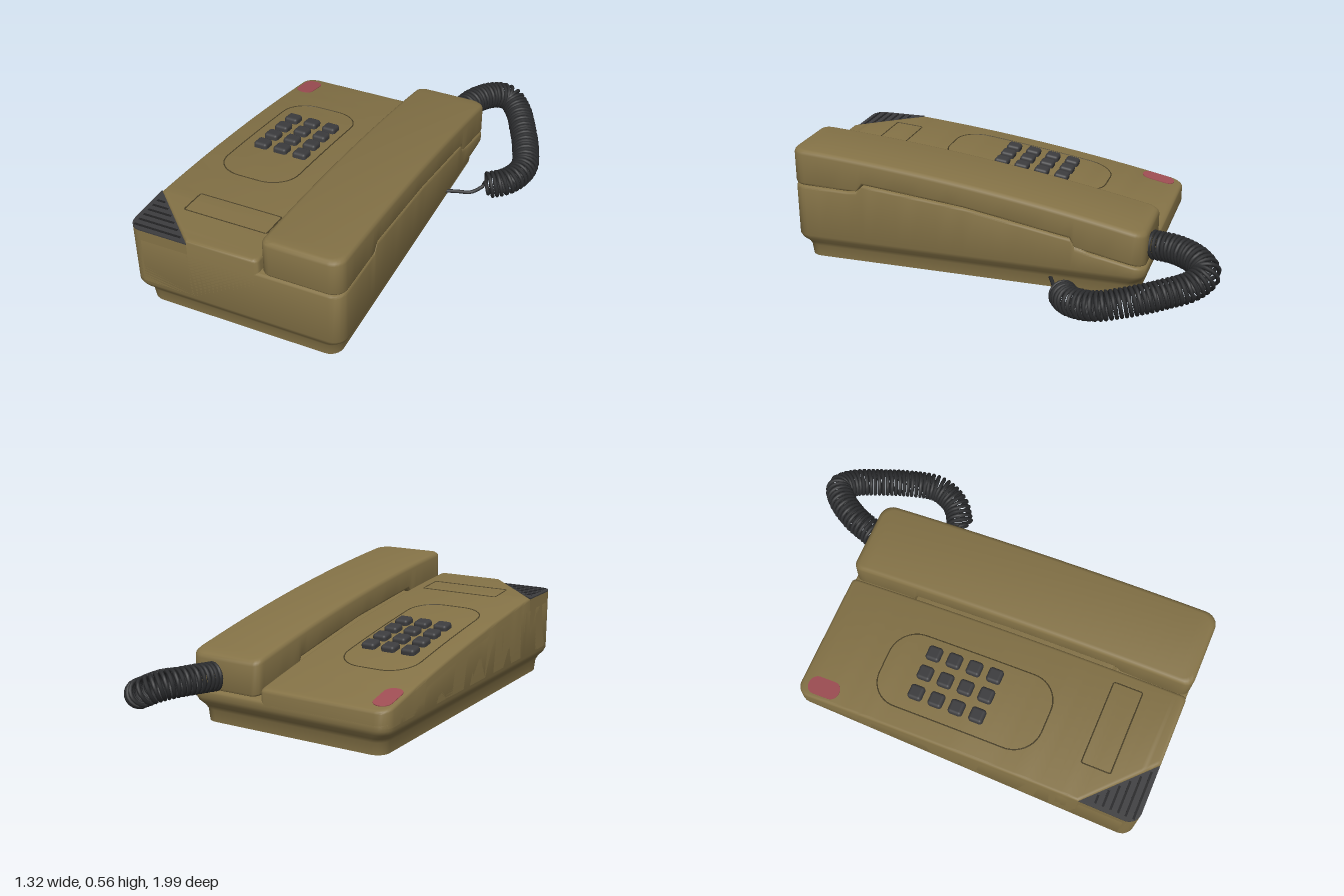
import * as THREE from 'three';
import { toCreasedNormals } from 'three/addons/utils/BufferGeometryUtils.js';
import { RoundedBoxGeometry } from 'three/addons/geometries/RoundedBoxGeometry.js';

const mat = (name, color) => new THREE.MeshStandardMaterial({ name, color });

// Height of the handset's curved top, the deck beside it, and the stepped seam below the handset
const handsetTop = (z) => { const t = (1 - z) / 1.66; return 0.563 - 0.1 * t - 0.128 * t * t; };
const deckTop = (z) => handsetTop(z) - 0.112;
const deckSlope = (z) => (deckTop(z + 0.01) - deckTop(z - 0.01)) / 0.02;
const SEAM = [[-0.66, 0.175], [-0.345, 0.238], [-0.325, 0.282], [0.17, 0.368], [0.655, 0.42], [0.685, 0.38], [1, 0.388]];
function seam(z) {
  for (let i = 1; i < SEAM.length; i++) {
    const [za, ya] = SEAM[i - 1], [zb, yb] = SEAM[i];
    if (z <= zb) return ya + (yb - ya) * (z - za) / (zb - za);
  }
  return SEAM[SEAM.length - 1][1];
}

// Corner of the deck that is cut away for the grille
const CUT_Z = 0.73;
const cutX = (z) => -0.665 + (z - CUT_Z) * 1.06;

// Stack of rounded outlines; each level is [inset, height(x, z)]
function loft({ x0, x1, z0, z1, rl, rr, cut }, levels) {
  const set = [CUT_Z, ...SEAM.map((s) => s[0])], r = Math.max(rl, rr);
  for (let i = 0; i <= 6; i++) {
    const d = r * (1 - Math.cos(i * Math.PI / 12));
    set.push(z0 + d, z1 - d);
  }
  for (let i = 1; i < 24; i++) set.push(z0 + r + (z1 - z0 - 2 * r) * i / 24);
  const zs = set.filter((z) => z >= z0 && z <= z1).sort((a, b) => a - b).filter((z, i, a) => !i || z - a[i - 1] > 0.0005);
  const n = zs.length, m = 2 * n, zc = (z0 + z1) / 2, hz = (z1 - z0) / 2;
  const corner = (z, rad) => {
    const d = Math.min(rad, Math.max(0, rad - (z1 - z), rad - (z - z0)));
    return rad - Math.sqrt(rad * rad - d * d);
  };
  const pos = [], idx = [];
  for (const [inset, height] of levels) {
    const left = [], right = [];
    for (const z of zs) {
      const zz = zc + (z - zc) * (hz - inset) / hz;
      let xl = x0 + inset + corner(z, rl);
      if (cut) xl = Math.max(xl, cutX(z) + inset);
      left.push([xl, zz]);
      right.unshift([x1 - inset - corner(z, rr), zz]);
    }
    for (const [x, z] of [...left, ...right]) pos.push(x, height(x, z), z);
  }
  for (let k = 0; k < levels.length - 1; k++) {
    for (let i = 0; i < m; i++) {
      const a = k * m + i, b = k * m + (i + 1) % m;
      idx.push(a, b, b + m, a, b + m, a + m);
    }
  }
  const top = (levels.length - 1) * m;
  for (let i = 0; i < n - 1; i++) {
    const l = i, l2 = i + 1, q = m - 1 - i, q2 = m - 2 - i;
    idx.push(top + l, top + l2, top + q2, top + l, top + q2, top + q);
    idx.push(l, q2, l2, l, q, q2);
  }
  const g = new THREE.BufferGeometry();
  g.setAttribute('position', new THREE.Float32BufferAttribute(pos, 3));
  g.setIndex(idx);
  return toCreasedNormals(g, 0.7);
}

// Rounded edge at the top (dir 1) or bottom (dir -1) of a loft
function bevel(r, height, dir) {
  const out = [0, 1, 2, 3].map((i) => {
    const a = i * Math.PI / 6;
    return [r * (1 - Math.cos(a)), (x, z) => height(x, z) - dir * r * (1 - Math.sin(a))];
  });
  return dir > 0 ? out : out.reverse();
}

// Rounded rectangle in plan; the shape's y is -z
function roundRect(x0, x1, z0, z1, r) {
  const s = new THREE.Shape();
  s.absarc(x1 - r, -z1 + r, r, -Math.PI / 2, 0);
  s.absarc(x1 - r, -z0 - r, r, 0, Math.PI / 2);
  s.absarc(x0 + r, -z0 - r, r, Math.PI / 2, Math.PI);
  s.absarc(x0 + r, -z1 + r, r, Math.PI, Math.PI * 1.5);
  s.closePath();
  return s;
}

function plate(shape, depth) {
  return new THREE.ExtrudeGeometry(shape, { depth, bevelEnabled: false, curveSegments: 8 }).rotateX(-Math.PI / 2);
}

// Thin line lying on the deck around a rounded rectangle
function seamLine(...rect) {
  const path = new THREE.CurvePath(), pts = roundRect(...rect).getSpacedPoints(100);
  const v = pts.map((p) => new THREE.Vector3(p.x, deckTop(-p.y), -p.y));
  for (let i = 1; i < v.length; i++) path.add(new THREE.LineCurve3(v[i - 1], v[i]));
  return new THREE.TubeGeometry(path, 200, 0.003, 5, false);
}

export function createModel() {
  const group = new THREE.Group();
  const olive = mat('olive plastic', 0x857347), groove = mat('groove shadow', 0x4d4329);
  const charcoal = mat('charcoal plastic', 0x3d3d3f), black = mat('black slots', 0x222224);
  const cordBlack = mat('cord black', 0x2b2c2e), red = mat('faded red', 0xa04e54);
  const add = (name, geometry, material, x = 0, y = 0, z = 0) => {
    const mesh = new THREE.Mesh(geometry, material);
    mesh.name = name;
    mesh.position.set(x, y, z);
    group.add(mesh);
    return mesh;
  };

  // Base with a narrowed foot, and a cradle surface under the handset
  const body = { x0: -0.665, x1: 0.325, z0: -0.66, z1: 1, rl: 0.06, rr: 0.06 };
  const cradle = (x, z) => (x < -0.3 ? Math.min(seam(z), deckTop(z) - 0.03) : seam(z)) - 0.002;
  add('base', loft(body, [
    [0.042, () => 0.02], [0.037, () => 0.075], [0.027, () => 0.095], [0.008, () => 0.118], [0, () => 0.138],
    ...bevel(0.012, cradle, 1),
  ]), olive);

  // Raised deck beside the handset
  add('deck', loft({ ...body, x1: -0.047, rr: 0.02, cut: true }, [
    [0, () => 0.15], ...bevel(0.014, (x, z) => deckTop(z), 1),
  ]), olive);

  // Handset
  add('handset', loft({ x0: -0.035, x1: 0.326, z0: -0.656, z1: 1, rl: 0.04, rr: 0.06 }, [
    ...bevel(0.012, (x, z) => seam(z) + 0.002, -1),
    ...bevel(0.022, (x, z) => handsetTop(z), 1),
  ]), olive);

  // Corner grille
  const corner = new THREE.Shape();
  corner.moveTo(-0.665, -CUT_Z);
  corner.lineTo(-0.665, -0.94);
  corner.absarc(-0.605, -0.94, 0.06, Math.PI, Math.PI * 1.5);
  corner.lineTo(cutX(1), -1);
  corner.closePath();
  add('grilleCorner', plate(corner, 0.275), olive, 0, 0.15, 0);
  add('grille', plate(corner, 0.006), charcoal, 0, 0.425, 0);
  for (let z = 0.8; z < 0.98; z += 0.035) {
    const w = cutX(z) - 0.015 + 0.645;
    add('grilleSlot', new THREE.BoxGeometry(w, 0.004, 0.01), black, -0.645 + w / 2, 0.4312, z);
  }

  // Keypad and label outlines
  add('keypadOutline', seamLine(-0.568, -0.203, -0.33, 0.468, 0.13), groove);
  add('labelOutline', seamLine(-0.502, -0.105, 0.678, 0.814, 0.004), groove);

  // Keys
  const key = new RoundedBoxGeometry(0.068, 0.05, 0.068, 3, 0.014);
  for (let row = 0; row < 4; row++) {
    for (let col = 0; col < 3; col++) {
      const z = -0.125 + row * 0.1;
      add('key', key, charcoal, -0.475 + col * 0.1, deckTop(z) + 0.002, z).rotation.x = -Math.atan(deckSlope(z));
    }
  }

  // Red mark
  const mark = add('redMark', plate(roundRect(-0.043, 0.043, -0.08, 0.08, 0.04), 0.004), red, -0.602, deckTop(-0.54) - 0.001, -0.54);
  mark.rotation.x = -Math.atan(deckSlope(-0.54));

  // Feet
  for (const x of [-0.443, 0.105]) {
    for (const z of [0.8, -0.455]) add('foot', new THREE.CylinderGeometry(0.047, 0.047, 0.03, 28), olive, x, 0.015, z);
  }

  // Coiled cord: a helix wound along a looping path, with a straight lead into the base
  const spine = new THREE.CatmullRomCurve3([
    [0.19, 0.245, -0.66], [0.23, 0.25, -0.78], [0.295, 0.24, -0.88], [0.36, 0.215, -0.925], [0.425, 0.185, -0.88],
    [0.49, 0.16, -0.77], [0.555, 0.135, -0.63], [0.59, 0.115, -0.5], [0.55, 0.1, -0.39], [0.45, 0.085, -0.32],
  ].map((p) => new THREE.Vector3(...p)));
  const steps = 780, turns = 52, pts = [];
  const frames = spine.computeFrenetFrames(steps, false);
  for (let i = 0; i <= steps; i++) {
    const t = i / steps, a = t * turns * Math.PI * 2;
    const r = 0.058 * Math.min(1, (1 - t) * 50);
    pts.push(spine.getPointAt(t)
      .addScaledVector(frames.normals[i], r * Math.cos(a))
      .addScaledVector(frames.binormals[i], r * Math.sin(a)));
  }
  pts.push(new THREE.Vector3(0.4, 0.055, -0.285), new THREE.Vector3(0.34, 0.062, -0.255), new THREE.Vector3(0.27, 0.068, -0.22));
  const coil = new THREE.CatmullRomCurve3(pts);
  coil.arcLengthDivisions = 3000;
  add('coiledCord', new THREE.TubeGeometry(coil, 1000, 0.009, 7, false), cordBlack);

  return group;
}
